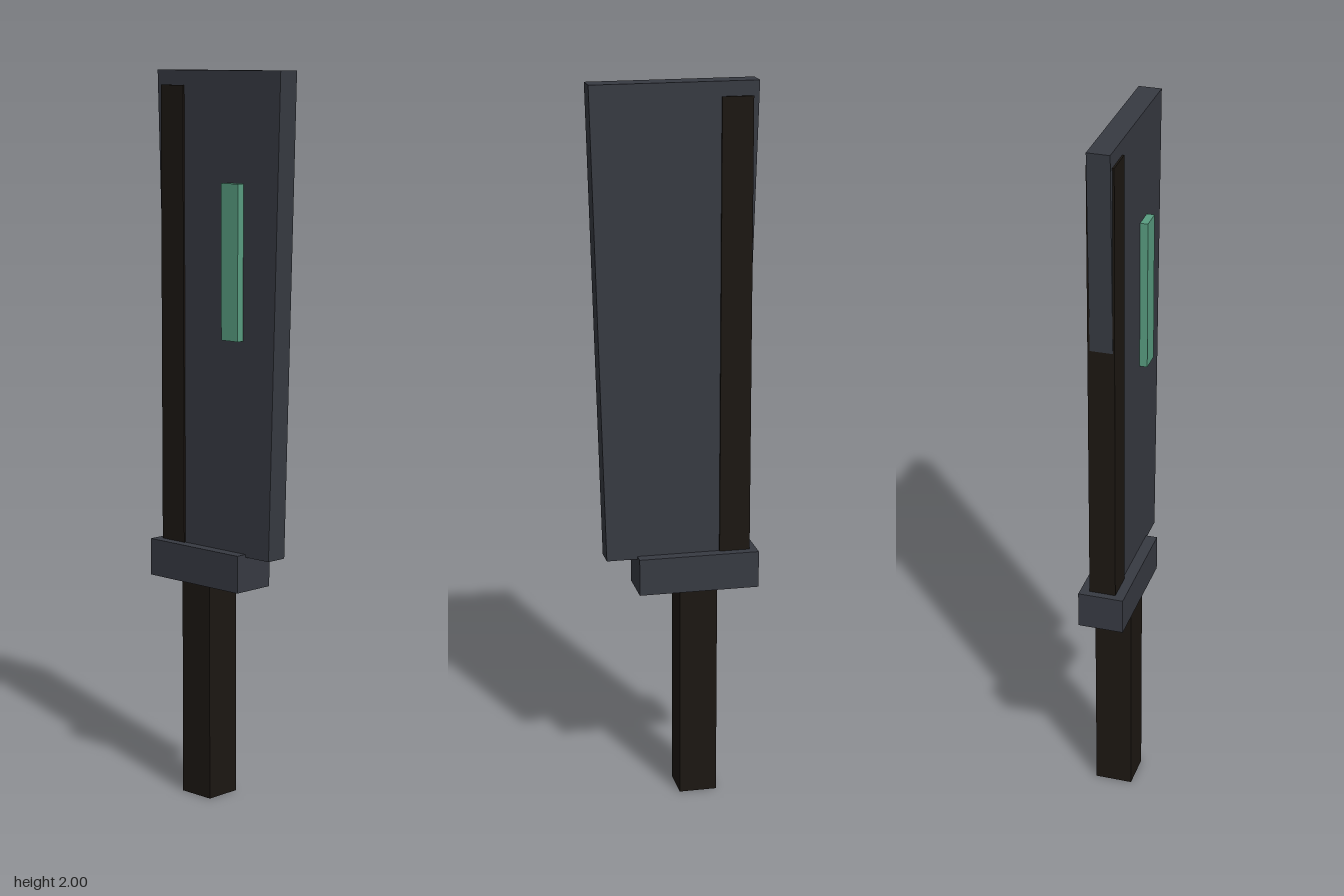
import * as THREE from 'three';

const steel = new THREE.MeshStandardMaterial({ color: 0x373a42 });
const wrap = new THREE.MeshStandardMaterial({ color: 0x1c1712 });
const green = new THREE.MeshStandardMaterial({ color: 0x589c80 });

// Box given by its extents on each axis
function box(name, material, [x0, x1], [y0, y1], [z0, z1]) {
  const mesh = new THREE.Mesh(new THREE.BoxGeometry(x1 - x0, y1 - y0, z1 - z0), material);
  mesh.position.set((x0 + x1) / 2, (y0 + y1) / 2, (z0 + z1) / 2);
  mesh.name = name;
  return mesh;
}

export function createModel() {
  const model = new THREE.Group();
  model.name = 'cleaverSword';

  // Flat blade that widens towards its square tip
  const outline = new THREE.Shape([
    new THREE.Vector2(-0.187, 0.7),
    new THREE.Vector2(0.19, 0.7),
    new THREE.Vector2(0.228, 2),
    new THREE.Vector2(-0.227, 2),
  ]);
  const bladeGeometry = new THREE.ExtrudeGeometry(outline, { depth: 0.062, bevelEnabled: false });
  const blade = new THREE.Mesh(bladeGeometry, steel);
  blade.position.z = -0.032;
  blade.name = 'blade';
  model.add(blade);

  // Dark strip along the spine, standing slightly proud of both faces
  model.add(box('spineStrip', wrap, [-0.21, -0.125], [0.7, 1.96], [-0.038, 0.035]));

  // Raised inlay on the front face only
  model.add(box('inlay', green, [0.034, 0.095], [1.287, 1.705], [0.02, 0.051]));

  // Guard and grip
  model.add(box('guard', steel, [-0.23, 0.105], [0.605, 0.708], [-0.064, 0.062]));
  model.add(box('grip', wrap, [-0.115, -0.01], [0, 0.605], [-0.052, 0.052]));

  return model;
}
